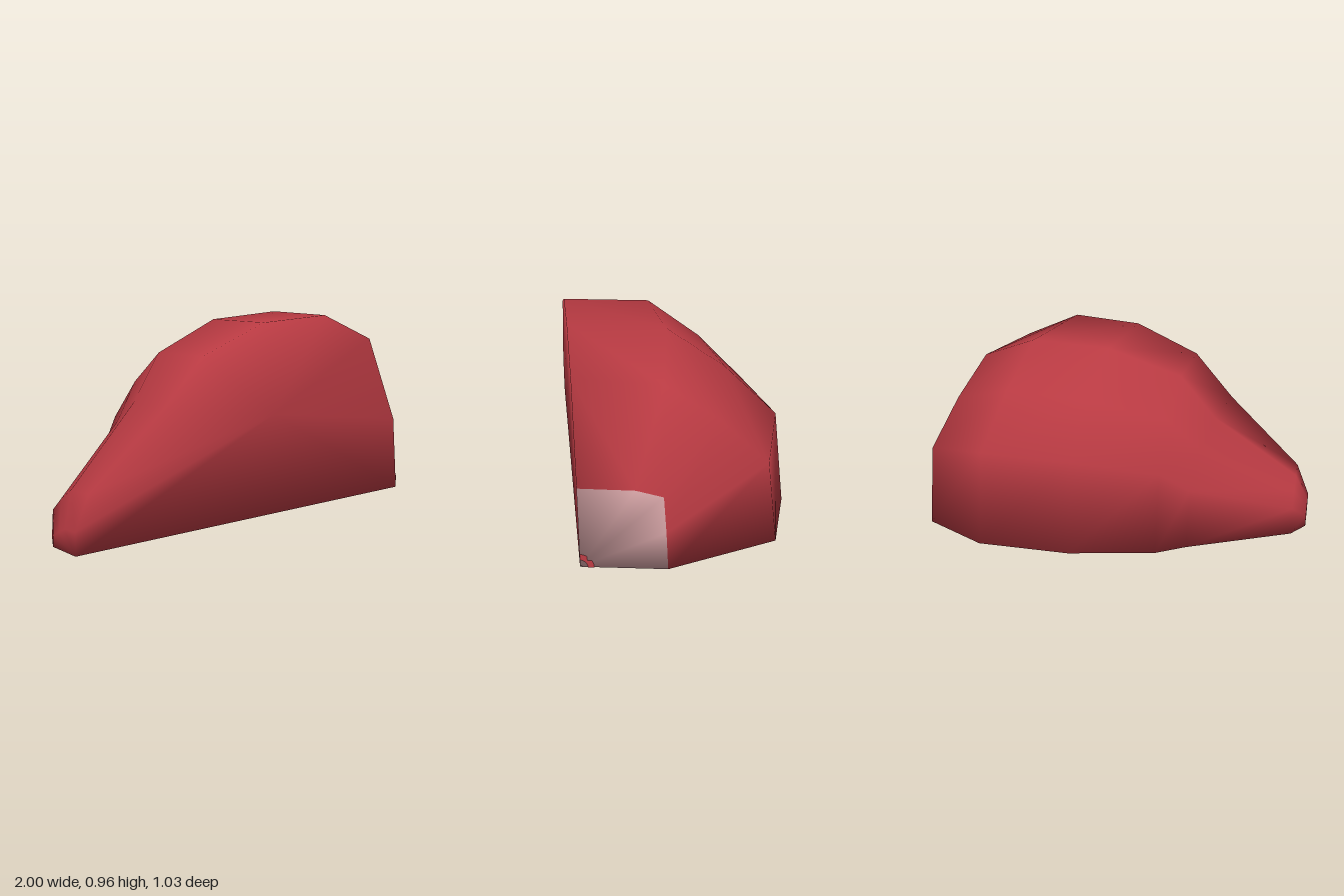
import * as THREE from 'three';

const FRONT = 0.515; // z of the flat front cut

// Cross-section rules: [depth fraction, height fraction, blend from top x to base x]
const ROUND = [[0, 1, 0], [0.44, 0.97, 0.45], [0.71, 0.76, 0.7], [0.95, 0.5, 0.95], [1, 0, 1]];
const BOXY = [[0, 1, 0], [0.68, 1.04, 0.7], [1, 0.98, 1], [1.03, 0.5, 1], [1.05, 0, 1]];

// Stations along the length: [x at top, x at base, height, depth]
const STATIONS = [
  [-0.97, -1.0, 0.11, 0.165],
  [-0.9, -0.95, 0.27, 0.285],
  [-0.52, -0.5, 0.6, 0.645],
  [-0.31, -0.38, 0.82, 0.765],
  [0.03, 0.02, 0.95, 0.945],
  [0.4, 0.48, 0.96, 1.03],
  [0.7, 0.84, 0.82, 0.915],
  [0.89, 1.0, 0.38, 0.37],
];

// Smooth quarter-dome hull with flat front and base, pale panel on its end
function buildHull(materials) {
  const points = [], body = [], panel = [];
  const add = (x, y, z) => points.push(x, y, z) / 3 - 1;

  const rows = STATIONS.map(([xt, xb, h, d], i) =>
    (i === STATIONS.length - 1 ? BOXY : ROUND).map(([fd, fh, fx]) =>
      add(xt + (xb - xt) * fx, h * fh, FRONT - d * fd)));
  const n = ROUND.length, last = rows[rows.length - 1];
  const leftTip = add(-0.97, 0, FRONT), rightTip = add(0.93, 0, FRONT);

  // Curved outer skin
  for (let i = 0; i < rows.length - 1; i++) {
    for (let j = 0; j < n - 1; j++) {
      const a = rows[i][j], b = rows[i + 1][j], c = rows[i + 1][j + 1], d = rows[i][j + 1];
      body.push(a, b, c, a, c, d);
    }
  }

  // Narrow end and panelled end
  for (let j = 0; j < n - 1; j++) {
    body.push(leftTip, rows[0][j], rows[0][j + 1]);
    panel.push(rightTip, last[j + 1], last[j]);
  }

  // Flat front and flat base, fanned around a middle point
  const cap = (centre, column, flip) => {
    const loop = [leftTip, ...rows.map((r) => r[column]), rightTip];
    loop.forEach((p, k) => {
      const q = loop[(k + 1) % loop.length];
      body.push(centre, flip ? q : p, flip ? p : q);
    });
  };
  cap(add(0.1, 0.5, FRONT), 0, true);
  cap(add(0.15, 0, 0.1), n - 1, false);

  const g = new THREE.BufferGeometry();
  g.setAttribute('position', new THREE.Float32BufferAttribute(points, 3));
  g.setIndex([...body, ...panel]);
  g.addGroup(0, body.length, 0);
  g.addGroup(body.length, panel.length, 1);
  g.computeVertexNormals();
  const mesh = new THREE.Mesh(g, materials);
  mesh.name = 'hull';
  return mesh;
}

export function createModel() {
  const red = new THREE.MeshStandardMaterial({ color: 0xb83a42, side: THREE.DoubleSide });
  red.name = 'red';
  const pale = new THREE.MeshStandardMaterial({ color: 0xd0a0a2, side: THREE.DoubleSide });
  pale.name = 'pale pink';

  const model = new THREE.Group();
  model.name = 'model';
  model.add(buildHull([red, pale]));

  // Small quarter ring painted in the lower front corner of the panel
  const ring = new THREE.Mesh(new THREE.RingGeometry(0.036, 0.064, 12, 1, 0, Math.PI / 2), red);
  ring.name = 'panelRing';
  ring.position.set(0.933, 0, FRONT);
  ring.rotation.order = 'YXZ';
  ring.rotation.set(-0.08, Math.PI / 2 - 0.18, 0);
  model.add(ring);

  return model;
}
